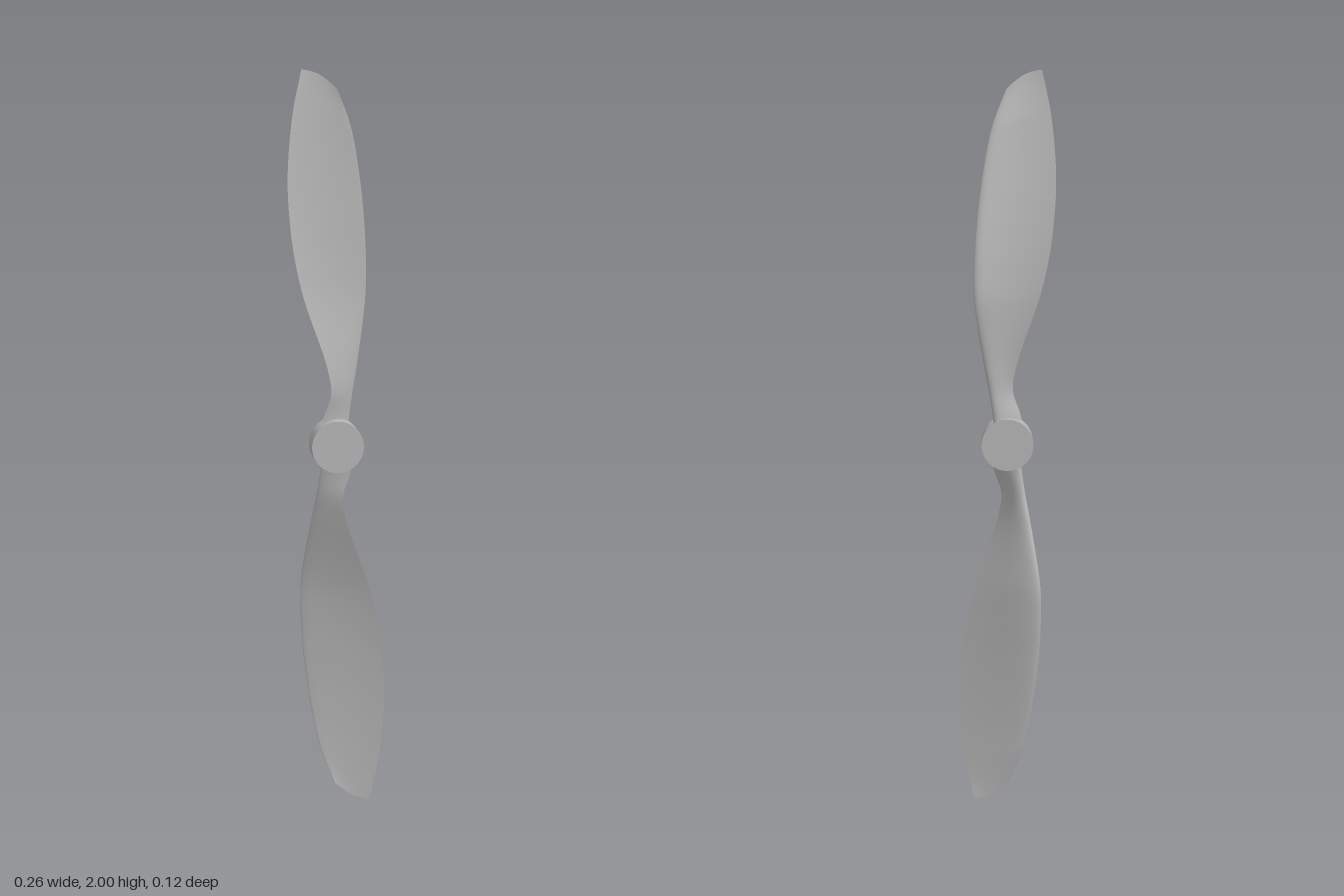
import * as THREE from 'three';

const metal = new THREE.MeshStandardMaterial({ color: 0xb4b4b4 });
metal.name = 'grey metal';

// Edge points (x, radius, z) from hub to tip
const trailing = [
  [-0.045, 0.04, 0.033], [-0.035, 0.08, 0.033], [-0.016, 0.14, 0.035], [-0.026, 0.21, 0.037],
  [-0.09, 0.4, 0.042], [-0.113, 0.5, 0.042], [-0.126, 0.6, 0.039], [-0.131, 0.72, 0.034],
  [-0.117, 0.88, 0.024], [-0.092, 1.0, 0.015],
];
const leading = [
  [0.036, 0.04, -0.013], [0.04, 0.08, -0.015], [0.049, 0.14, -0.02], [0.062, 0.21, -0.031],
  [0.088, 0.38, -0.056], [0.09, 0.48, -0.053], [0.083, 0.6, -0.041], [0.068, 0.72, -0.026],
  [0.042, 0.85, -0.007], [0.003, 0.95, 0.01],
];
const thickness = [0.022, 0.02, 0.02, 0.021, 0.023, 0.022, 0.02, 0.016, 0.011, 0.001];

const edgeCurve = (pts) => new THREE.CatmullRomCurve3(pts.map((p) => new THREE.Vector3(...p)));

// Half-thickness of an airfoil, 0 at the trailing edge and 1 at the rounded leading edge
function foil(u) {
  const v = 1 - u;
  return 10 * (0.2969 * Math.sqrt(v) - 0.126 * v - 0.3516 * v ** 2 + 0.2843 * v ** 3 - 0.1036 * v ** 4);
}

// Twisted airfoil blade lofted between its two edges
function bladeGeometry() {
  const rows = 72, half = 16, count = 2 * half + 1;
  const trail = edgeCurve(trailing), lead = edgeCurve(leading);
  const position = [], index = [];
  for (let j = 0; j <= rows; j++) {
    const s = j / rows;
    const a = trail.getPoint(s), b = lead.getPoint(s);
    const k = Math.min(Math.floor(s * 9), 8);
    const t = THREE.MathUtils.lerp(thickness[k], thickness[k + 1], s * 9 - k);
    const normal = new THREE.Vector3(a.z - b.z, 0, b.x - a.x).normalize();
    for (let i = 0; i < count; i++) {
      // Back from trailing to leading edge, then front and home again
      const u = (1 - Math.cos((Math.PI * i) / half)) / 2;
      const offset = foil(u) * t * (i <= half ? -0.75 : 0.25);
      const p = a.clone().lerp(b, u).addScaledVector(normal, offset);
      p.y += 0.012 * Math.sin(Math.PI * u) * s ** 6; // rounded tip
      position.push(p.x, p.y, p.z);
    }
  }
  for (let j = 0; j < rows; j++) {
    for (let i = 0; i < count - 1; i++) {
      const a = j * count + i, c = a + count;
      index.push(a, c, a + 1, a + 1, c, c + 1);
    }
  }
  const g = new THREE.BufferGeometry();
  g.setAttribute('position', new THREE.Float32BufferAttribute(position, 3));
  g.setIndex(index);
  g.computeVertexNormals();
  return g;
}

export function createModel() {
  const group = new THREE.Group();
  group.name = 'propeller';

  // Hub
  const hub = new THREE.Mesh(new THREE.CylinderGeometry(0.07, 0.07, 0.079, 64), metal);
  hub.name = 'hub';
  hub.rotation.x = Math.PI / 2;
  hub.position.set(0, 1, 0.0175);
  group.add(hub);

  // Two opposite blades
  const geometry = bladeGeometry();
  ['upperBlade', 'lowerBlade'].forEach((name, i) => {
    const blade = new THREE.Mesh(geometry, metal);
    blade.name = name;
    blade.position.y = 1;
    blade.rotation.z = i * Math.PI;
    group.add(blade);
  });
  return group;
}
